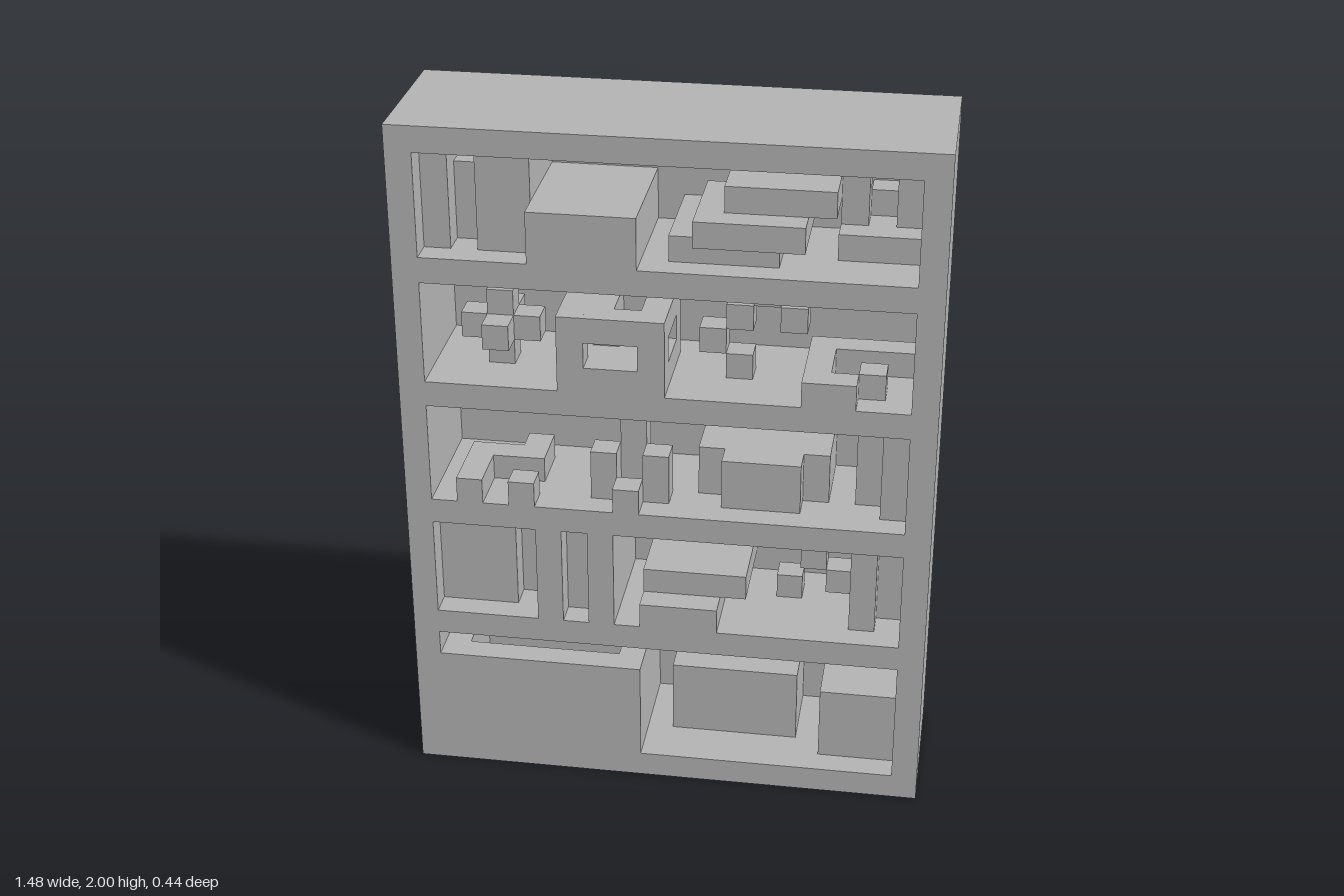
import * as THREE from 'three';

const U = 2 / 27; // one grid cell; the shelf is 20 x 27 x 6 cells

export function createModel() {
  const model = new THREE.Group();
  const grey = new THREE.MeshStandardMaterial({ color: 0xb2b2b2 });
  grey.name = 'stone grey';

  const group = (name) => {
    const g = new THREE.Group();
    g.name = name;
    model.add(g);
    return g;
  };

  // Block given in cells: x range, y range, and depth range from the front face
  const block = (parent, name, x0, x1, y0, y1, d0, d1 = 5) => {
    const geo = new THREE.BoxGeometry((x1 - x0) * U, (y1 - y0) * U, (d1 - d0) * U);
    const mesh = new THREE.Mesh(geo, grey);
    mesh.position.set((x0 + x1) / 2 * U, (y0 + y1) / 2 * U, (3 - (d0 + d1) / 2) * U);
    mesh.name = name;
    parent.add(mesh);
    return mesh;
  };
  const blocks = (name, list) => {
    const g = group(name);
    list.forEach((b, i) => block(g, `${name}Part${i + 1}`, ...b));
    return g;
  };

  // Open-topped crate with walls one cell thick
  const crate = (name, x0, x1, y0, y1, d0, d1) => blocks(name, [
    [x0, x1, y0, y1, d0, d0 + 1],
    [x0, x1, y0, y1, d1 - 1, d1],
    [x0, x0 + 1, y0, y1, d0 + 1, d1 - 1],
    [x1 - 1, x1, y0, y1, d0 + 1, d1 - 1],
    [x0 + 1, x1 - 1, y0, y0 + 1, d0 + 1, d1 - 1],
  ]);

  // Rectangle path in cells
  const rect = (PathType, x0, x1, y0, y1) => new PathType([
    [x0, y0], [x1, y0], [x1, y1], [x0, y1],
  ].map(([x, y]) => new THREE.Vector2(x * U, y * U)));

  // Bookcase frame with five compartments
  const face = rect(THREE.Shape, -10, 10, 0, 27);
  for (const [y0, y1] of [[1, 6], [7, 11], [12, 16], [17, 21], [22, 26]]) {
    face.holes.push(rect(THREE.Path, -9, 9, y0, y1));
  }
  const frameGeo = new THREE.ExtrudeGeometry(face, { depth: 5 * U, bevelEnabled: false });
  frameGeo.translate(0, 0, -2 * U);
  const frame = new THREE.Mesh(frameGeo, grey);
  frame.name = 'bookcaseFrame';
  model.add(frame);
  block(model, 'backPanel', -10, 10, 0, 27, 5, 6);

  // Bottom compartment: storage crates
  crate('largeCrate', -9, -1, 1, 5, 0, 5);
  crate('smallCrate', 0, 5, 1, 4, 2, 5);
  block(model, 'cornerChest', 6, 9, 1, 4, 1);

  // Second compartment: upright books, lying books, stepped ornament
  blocks('secondShelfBooks', [
    [-9, -6, 7, 11, 1],
    [-6, -5, 7, 10, 2],
    [-5, -4, 7, 11, 0],
    [-4, -3, 7, 11, 1],
    [-3, -2, 7, 11, 0],
    [7, 8, 7, 11, 1],
    [8, 9, 7, 11, 2],
  ]);
  blocks('secondShelfPile', [
    [-1, 2, 7, 8, 0],
    [-1, 3, 8, 9, 1],
  ]);
  blocks('steppedOrnament', [
    [4, 5, 10, 11, 2, 3],
    [5, 6, 9, 10, 2, 3],
    [6, 7, 8, 9, 2, 3],
    [4, 5, 7, 8, 3, 4],
  ]);

  // Third compartment: low ornament, pillar ornament, books
  blocks('lowOrnament', [
    [-8, -7, 12, 13, 0, 3],
    [-6, -5, 12, 13, 0, 1],
    [-7, -5, 12, 13, 2, 3],
    [-6, -5, 12, 13, 3, 4],
  ]);
  blocks('pillarOrnament', [
    [-3, -2, 12, 14, 1, 2],
    [-1, 0, 12, 14, 1, 2],
    [-2, -1, 12, 13, 0, 1],
    [-2, -1, 12, 15, 2, 3],
  ]);
  blocks('thirdShelfBooks', [
    [1, 2, 12, 14, 2],
    [2, 5, 12, 14, 1],
    [5, 6, 12, 14, 2],
    [7, 8, 12, 15, 2],
    [8, 9, 12, 16, 1],
  ]);

  // Fourth compartment: jack shape, open cage, cube ring, low corner piece
  blocks('jackOrnament', [
    [-7, -6, 17, 20, 2, 3],
    [-8, -7, 18, 19, 2, 3],
    [-6, -5, 18, 19, 2, 3],
    [-7, -6, 18, 19, 1, 2],
    [-7, -6, 18, 19, 3, 4],
  ]);
  const cage = [[-4, 0, 17, 18, 0, 4]];
  for (const x of [-4, -1]) {
    for (const d of [0, 3]) cage.push([x, x + 1, 18, 19, d, d + 1]);
    cage.push([x, x + 1, 19, 20, 0, 4]);
  }
  for (const d of [0, 3]) cage.push([-3, -1, 19, 20, d, d + 1]);
  cage.push([-3, -2, 18, 20, 2, 3], [-3, -2, 19, 20, 1, 2]);
  blocks('openCage', cage);
  blocks('cubeRing', [
    [1, 2, 18, 19],
    [2, 3, 17, 18],
    [2, 3, 19, 20],
    [3, 4, 20, 21],
    [4, 5, 19, 20],
  ].map((c) => [...c, 2, 3]));
  blocks('cornerOrnament', [
    [5, 7, 17, 18, 0, 1],
    [5, 6, 17, 18, 1, 4],
    [6, 9, 17, 18, 3, 4],
    [7, 8, 17, 18, 1, 2],
  ]);

  // Top compartment: upright books, chest, lying books, arch
  blocks('topShelfBooks', [
    [-9, -8, 22, 26, 1],
    [-8, -7, 22, 25, 2],
    [-7, -5, 22, 26, 1],
  ]);
  block(model, 'topShelfChest', -5, -1, 22, 24, 0);
  blocks('topShelfPile', [
    [0, 4, 22, 23, 1],
    [1, 5, 23, 24, 0, 4],
    [2, 6, 24, 25, 1],
  ]);
  blocks('archOrnament', [
    [6, 9, 22, 23, 2],
    [6, 7, 23, 25, 3, 4],
    [8, 9, 23, 25, 3, 4],
    [7, 8, 23, 24, 4, 5],
    [6, 9, 25, 26, 4, 5],
  ]);

  return model;
}
